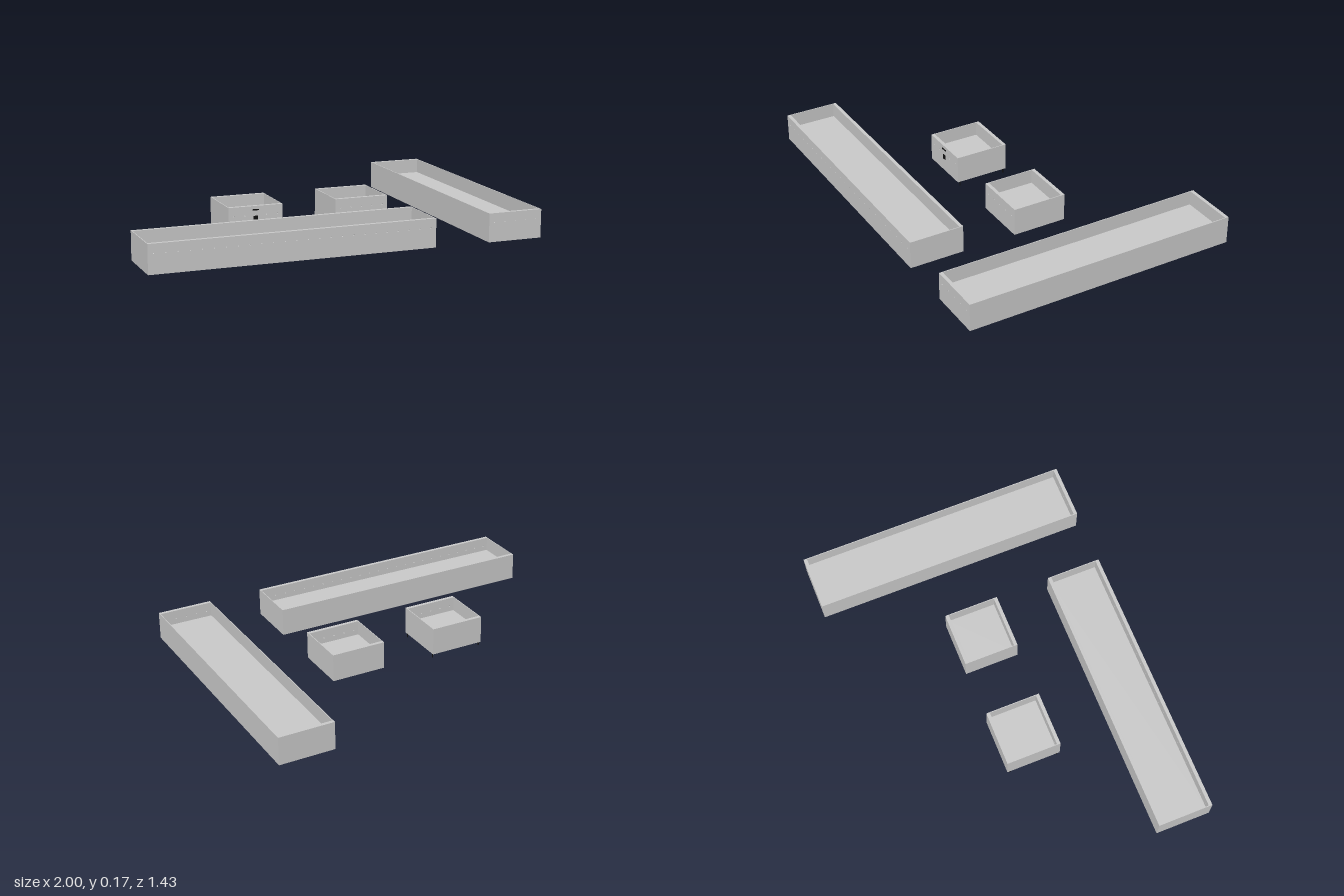
import * as THREE from 'three';

const CELL = 2 / 7;            // layout module
const Y0 = 0.023, Y1 = 0.167;  // underside and rim
const FLOOR = 0.092;           // inner floor level
const END = 0.018, SIDE = 0.004; // front/back and side wall thickness

const grey = new THREE.MeshStandardMaterial({ color: 0xcccccc, flatShading: true });
const black = new THREE.MeshStandardMaterial({ color: 0x111111 });

function add(parent, name, geometry, x, y, z, material = grey) {
  const mesh = new THREE.Mesh(geometry, material);
  mesh.name = name;
  mesh.position.set(x, y, z);
  parent.add(mesh);
  return mesh;
}

// Front wall pierced by a row of small holes
function piercedWall(w, h) {
  const shape = new THREE.Shape();
  shape.moveTo(-w / 2, 0);
  shape.lineTo(w / 2, 0);
  shape.lineTo(w / 2, h);
  shape.lineTo(-w / 2, h);
  shape.closePath();
  const count = Math.round(w / CELL) * 5;
  for (let i = 0; i < count; i++) {
    const hole = new THREE.Path();
    hole.absarc(-w / 2 + (i + 0.5) * w / count, 0.121 - Y0, 0.003, 0, Math.PI * 2, true);
    shape.holes.push(hole);
  }
  return new THREE.ExtrudeGeometry(shape, { depth: END, bevelEnabled: false, curveSegments: 8 });
}

// Open box with a raised floor
function planter(name, x, z, w, d) {
  const g = new THREE.Group();
  g.name = name;
  g.position.set(x, 0, z);
  const h = Y1 - Y0, mid = (Y0 + Y1) / 2;
  add(g, 'floor', new THREE.BoxGeometry(w - 2 * SIDE, FLOOR - Y0, d - 2 * END), 0, (FLOOR + Y0) / 2, 0);
  add(g, 'frontWall', piercedWall(w, h), 0, Y0, d / 2 - END);
  add(g, 'backWall', new THREE.BoxGeometry(w, h, END), 0, mid, -d / 2 + END / 2);
  for (const s of [-1, 1]) {
    add(g, s > 0 ? 'leftWall' : 'rightWall', new THREE.BoxGeometry(SIDE, h, d - 2 * END),
      s * (w - SIDE) / 2, mid, 0);
  }
  return g;
}

export function createModel() {
  const model = new THREE.Group();
  model.name = 'planterSet';

  const legged = planter('leggedBox', -CELL, 0, CELL, CELL);
  model.add(
    legged,
    planter('smallBox', CELL, 0, CELL, CELL),
    planter('frontLongBox', -CELL, 2 * CELL, 5 * CELL, CELL),
    planter('sideLongBox', 3 * CELL, 0, CELL, 5 * CELL),
  );

  // Thin legs under the corners
  for (const sx of [-1, 1]) for (const sz of [-1, 1]) {
    add(legged, 'leg', new THREE.CylinderGeometry(0.0035, 0.0035, Y0, 8), sx * 0.138, Y0 / 2, sz * 0.128, black);
  }

  // Small handle and plate on the front
  add(legged, 'handle', new THREE.BoxGeometry(0.034, 0.006, 0.004), 0, 0.148, CELL / 2 + 0.002, black);
  add(legged, 'plate', new THREE.BoxGeometry(0.022, 0.026, 0.003), 0, 0.104, CELL / 2 + 0.0015, black);

  return model;
}
